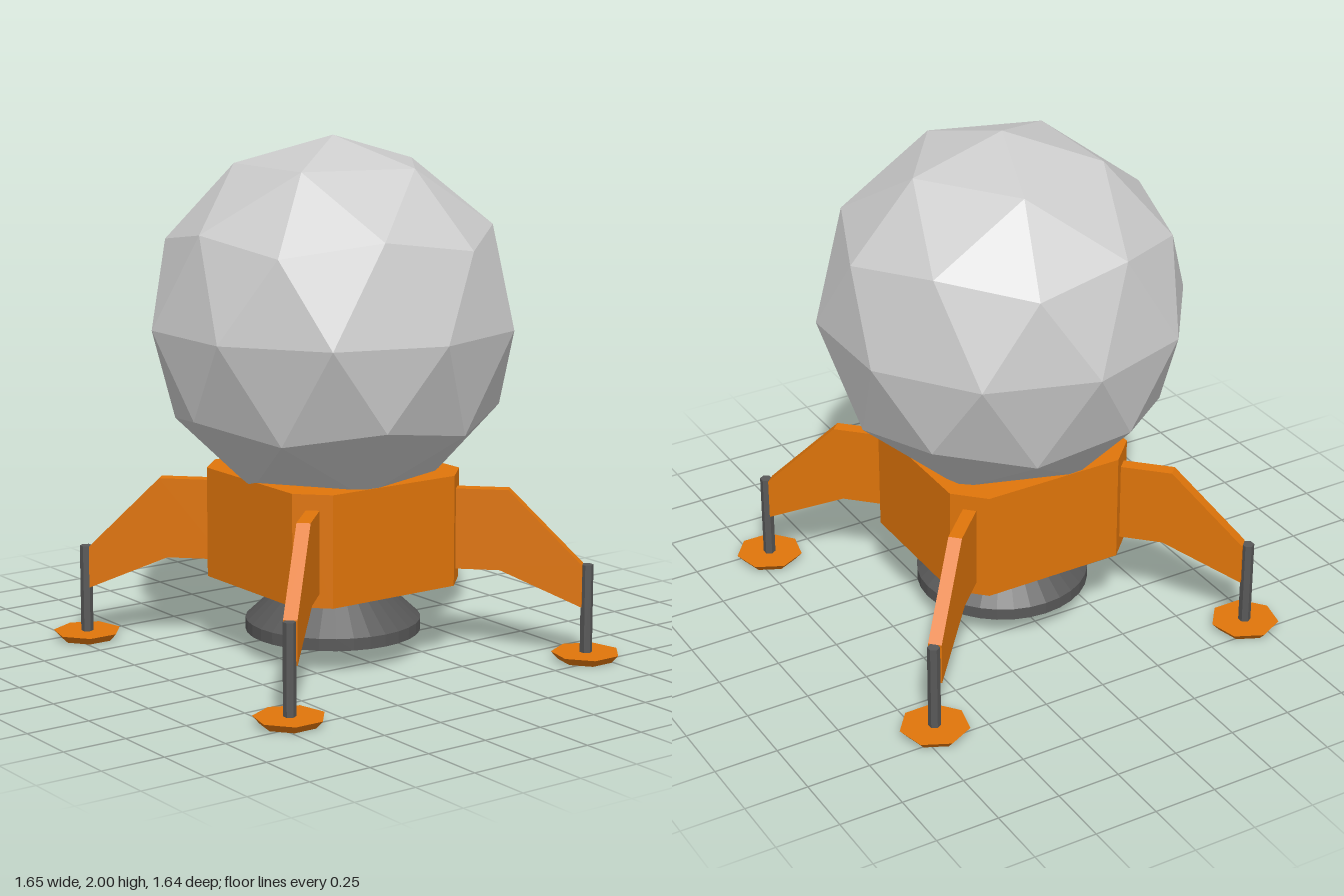
import * as THREE from 'three';

const paint = (color) => new THREE.MeshStandardMaterial({ color, flatShading: true });

function add(parent, name, geometry, material) {
  const mesh = new THREE.Mesh(geometry, material);
  mesh.name = name;
  parent.add(mesh);
  return mesh;
}

const polygon = (points) => new THREE.Shape(points.map(([x, y]) => new THREE.Vector2(x, y)));

export function createModel() {
  const model = new THREE.Group();
  model.name = 'lander';
  const grey = paint(0xcccccc);
  const orange = paint(0xe0750a);
  const dark = paint(0x585858);

  // Faceted cabin, turned so that one vertex points straight up
  const cabin = new THREE.IcosahedronGeometry(0.711, 1);
  cabin.rotateZ(-Math.atan(2 / (1 + Math.sqrt(5))));
  add(model, 'cabin', cabin, grey).position.y = 1.289;

  // Square base with cut corners
  const w = 0.393, c = 0.285;
  const outline = polygon([[w, -c], [w, c], [c, w], [-c, w], [-w, c], [-w, -c], [-c, -w], [c, -w]]);
  const base = new THREE.ExtrudeGeometry(outline, { depth: 0.43, bevelEnabled: false });
  base.rotateX(-Math.PI / 2);
  add(model, 'base', base, orange).position.y = 0.29;

  // Engine bell, hollow underneath
  const bell = [[0, 0.145], [0.24, 0.145], [0.285, 0.085], [0.34, 0.085], [0.34, 0.132], [0.165, 0.295]]
    .map(([r, y]) => new THREE.Vector2(r, y));
  const bellMesh = add(model, 'engineBell', new THREE.LatheGeometry(bell, 32), dark);
  bellMesh.material = dark.clone();
  bellMesh.material.side = THREE.DoubleSide;

  // Bent leg plate, drawn outward from the centre
  const t = 0.052;
  const plate = new THREE.ExtrudeGeometry(
    polygon([[0.42, 0.345], [0.65, 0.345], [0.965, 0.21], [0.965, 0.375], [0.68, 0.66], [0.42, 0.66]]),
    { depth: t, bevelEnabled: false });
  plate.translate(0, 0, -t / 2);
  const post = new THREE.CylinderGeometry(0.024, 0.024, 0.35, 6);
  const foot = new THREE.CylinderGeometry(0.134, 0.106, 0.03, 7, 1, false, Math.PI);

  // Four legs on the diagonals
  for (const x of [-1, 1]) for (const z of [-1, 1]) {
    const leg = new THREE.Group();
    leg.name = (z > 0 ? 'front' : 'back') + (x > 0 ? 'Left' : 'Right') + 'Leg';
    add(leg, 'legPlate', plate, orange).rotation.y = Math.atan2(-z, x);
    add(leg, 'legPost', post, dark).position.set(0.695 * x, 0.2, 0.695 * z);
    add(leg, 'footPad', foot, orange).position.set(0.695 * x, 0.015, 0.695 * z);
    model.add(leg);
  }

  model.position.z = 0.007;
  return model;
}
